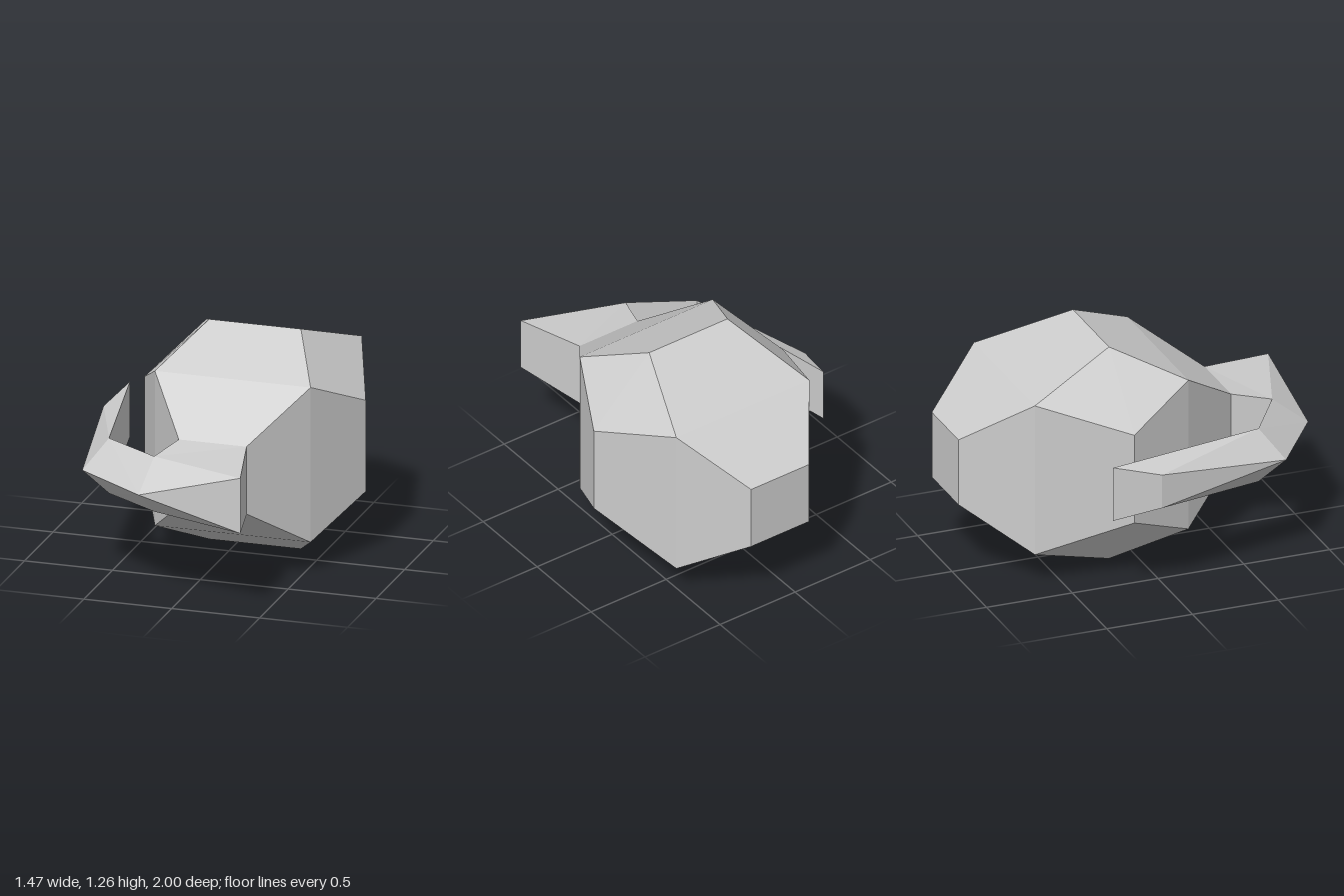
import * as THREE from 'three';

const MID = 0.632; // height of the horizontal mirror plane
const BODY_X = 0.1;

// Skins a row of matching closed loops; loops run anticlockwise seen from the far end.
// flips[s] lists the strips of step s whose quads split along the other diagonal.
function loft(loops, { capStart = false, capEnd = false, flips = [] } = {}) {
  const pos = [];
  const tri = (a, b, c) => {
    const area = b.clone().sub(a).cross(c.clone().sub(a)).length();
    if (area > 1e-6) pos.push(...a.toArray(), ...b.toArray(), ...c.toArray());
  };
  const n = loops[0].length;
  for (let s = 0; s < loops.length - 1; s++) {
    const a = loops[s], b = loops[s + 1];
    for (let i = 0; i < n; i++) {
      const j = (i + 1) % n;
      if (flips[s]?.includes(i)) {
        tri(a[i], a[j], b[i]);
        tri(a[j], b[j], b[i]);
      } else {
        tri(a[i], a[j], b[j]);
        tri(a[i], b[j], b[i]);
      }
    }
  }
  const first = loops[0], last = loops[loops.length - 1];
  for (let i = 1; i < n - 1; i++) {
    if (capStart) tri(first[0], first[i + 1], first[i]);
    if (capEnd) tri(last[0], last[i], last[i + 1]);
  }
  const g = new THREE.BufferGeometry();
  g.setAttribute('position', new THREE.Float32BufferAttribute(pos, 3));
  g.computeVertexNormals();
  return g;
}

// Octagonal ring; equal sizes collapse it to a square
function bodyRing([z, outer, inner]) {
  return [
    [outer, -inner], [outer, inner], [inner, outer], [-inner, outer],
    [-outer, inner], [-outer, -inner], [-inner, -outer], [inner, -outer],
  ].map(([x, y]) => new THREE.Vector3(BODY_X + x, MID + y, z));
}

// Arm section: an outer and an inner upright edge, each given as [x, z, half height]
function armSection([outer, inner]) {
  const point = ([x, z, h], sign) => new THREE.Vector3(x, MID + sign * h, z);
  return [point(outer, 1), point(inner, 1), point(inner, -1), point(outer, -1)];
}

export function createModel() {
  const model = new THREE.Group();
  model.name = 'facetedBodyWithHookedArm';
  const grey = new THREE.MeshStandardMaterial({ color: 0xcccccc });
  grey.name = 'light grey';

  const add = (name, geometry) => {
    const mesh = new THREE.Mesh(geometry, grey);
    mesh.name = name;
    model.add(mesh);
  };

  // Body: back square, swelling to an octagon, closing to the neck square
  const rings = [
    [-1, 0.193, 0.193],
    [-0.655, 0.443, 0.443],
    [-0.15, 0.63, 0.261],
    [0.24, 0.443, 0.443],
    [0.59, 0.193, 0.193],
  ];
  add('body', loft(rings.map(bodyRing), { capStart: true }));

  // Arm: neck, front block, then a wedge that hooks backwards to the tip
  const sections = [
    [[0.293, 0.59, 0.193], [-0.093, 0.59, 0.193]],
    [[0.39, 1, 0.158], [-0.165, 0.8, 0.158]],
    [[-0.19, 1, 0], [-0.165, 0.8, 0.158]],
    [[-0.605, 0.705, 0], [-0.49, 0.59, 0.158]],
    [[-0.735, -0.07, 0.098], [-0.67, -0.33, 0.158]],
  ];
  add('hookedArm', loft(sections.map(armSection), {
    capEnd: true,
    flips: [[2], [], [2], [0]],
  }));

  return model;
}
